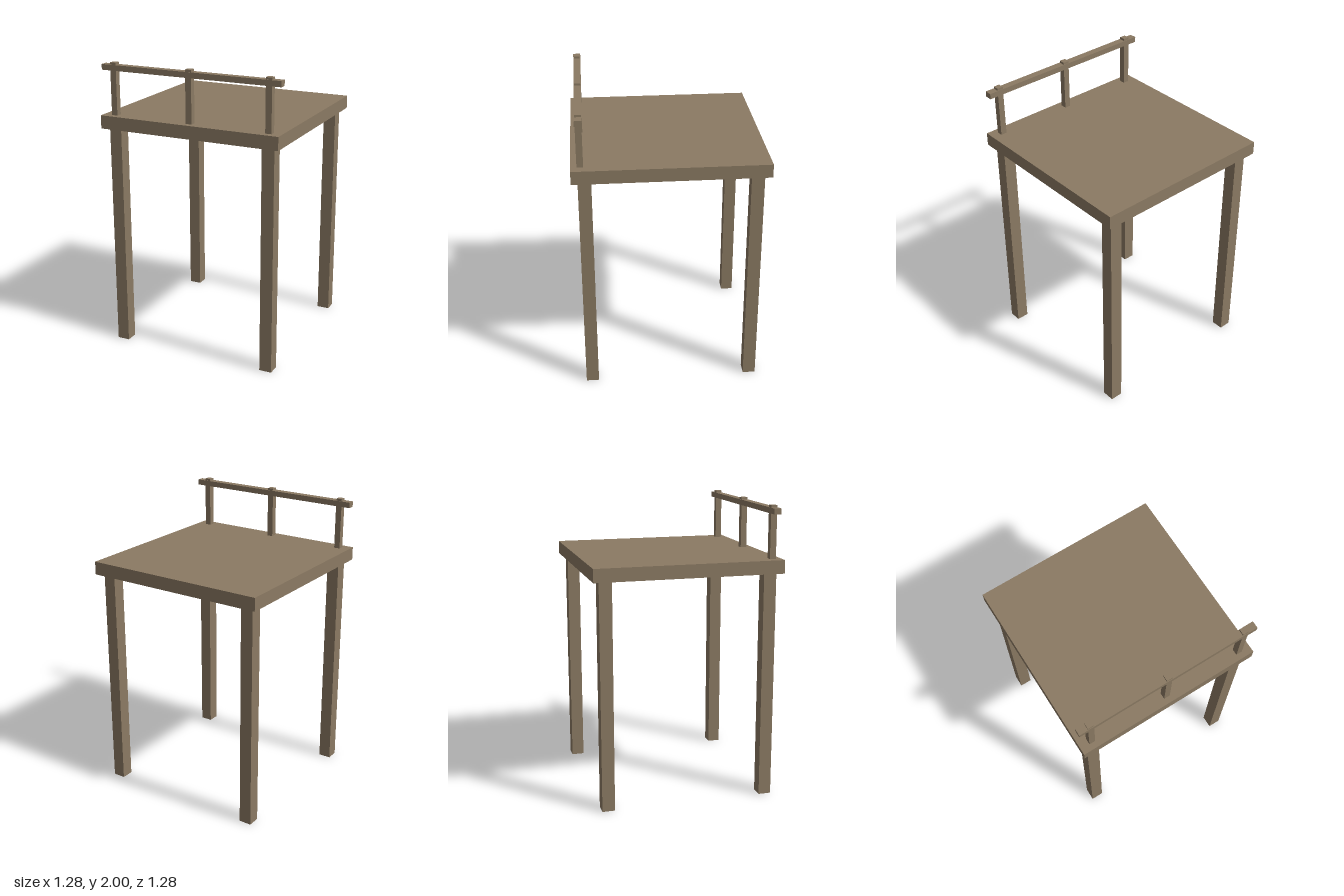
import * as THREE from 'three';

export function createModel() {
  const model = new THREE.Group();
  const wood = new THREE.MeshStandardMaterial({ color: 0x8b7a63 });
  wood.name = 'wood';

  // Adds a box whose underside sits at height y
  function addBox(name, w, h, d, x, y, z) {
    const mesh = new THREE.Mesh(new THREE.BoxGeometry(w, h, d), wood);
    mesh.name = name;
    mesh.position.set(x, y + h / 2, z);
    model.add(mesh);
  }

  // Seat slab
  const seatBottom = 1.557, seatTop = 1.647;
  addBox('seat', 1.28, seatTop - seatBottom, 1.28, 0, seatBottom, 0);

  // Four square legs
  for (const x of [-0.555, 0.555]) {
    for (const z of [-0.555, 0.555]) {
      addBox(z > 0 ? 'frontLeg' : 'backLeg', 0.086, seatBottom, 0.086, x, 0, z);
    }
  }

  // Low railing: three posts passing through one rail
  const railZ = 0.579;
  for (const x of [-0.556, 0, 0.556]) {
    addBox('railPost', 0.042, 2 - seatTop, 0.042, x, seatTop, railZ);
  }
  addBox('rail', 1.28, 0.038, 0.05, 0, 1.947, railZ);

  return model;
}
